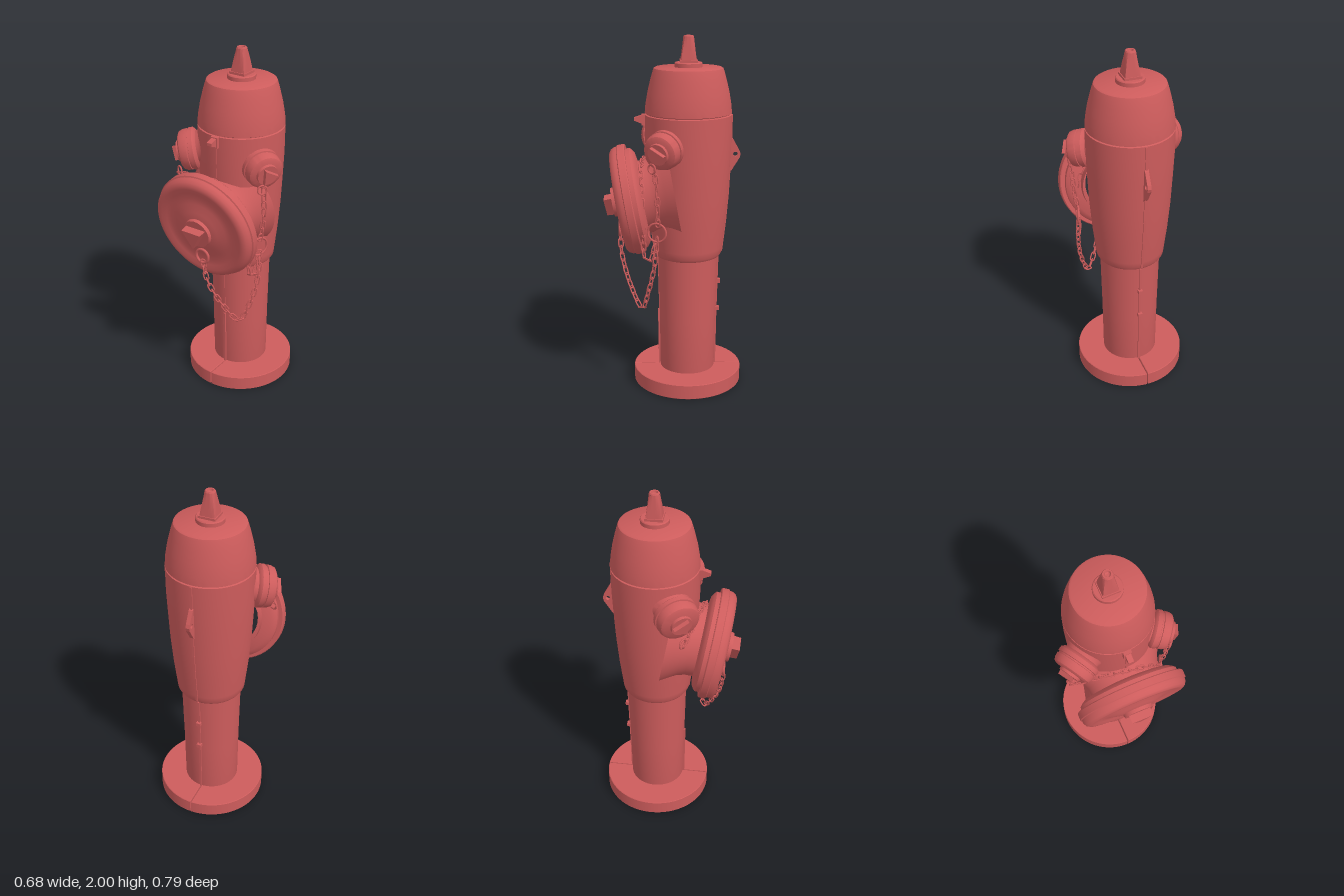
import * as THREE from 'three';
import { toCreasedNormals } from 'three/addons/utils/BufferGeometryUtils.js';

const red = new THREE.MeshStandardMaterial({ color: 0xcd5c5c });
const UP = new THREE.Vector3(0, 1, 0);
const V = (x, y, z) => new THREE.Vector3(x, y, z);

function add(parent, name, geometry) {
  const mesh = new THREE.Mesh(geometry, red);
  mesh.name = name;
  parent.add(mesh);
  return mesh;
}

// Profile points are [radius, height], from bottom to top
function lathe(points, segments = 64) {
  const g = new THREE.LatheGeometry(points.map(([r, y]) => new THREE.Vector2(r, y)), segments);
  return toCreasedNormals(g, 0.55);
}

// Body axis stands at (0.01, -0.08)
const AXIS = V(0.01, 0, -0.08);
const BODY = [
  [0, 0.004], [0.145, 0.004], [0.158, 0.085], [0.162, 0.4], [0.17, 0.765], [0.182, 0.77], [0.192, 0.785],
  [0.196, 0.82], [0.212, 0.96], [0.225, 1.12], [0.233, 1.28], [0.239, 1.42], [0.24, 1.574],
];
const BONNET = [
  [0.232, 1.572], [0.232, 1.58], [0.24, 1.584], [0.236, 1.63], [0.224, 1.7], [0.207, 1.77],
  [0.194, 1.815], [0.19, 1.825], [0.18, 1.831], [0, 1.831],
];

function bodyRadius(y) {
  const i = Math.max(1, BODY.findIndex((p) => p[1] >= y));
  const [a, b] = [BODY[i - 1], BODY[i]];
  return a[0] + (b[0] - a[0]) * (y - a[1]) / (b[1] - a[1]);
}

// Flat plate in the middle plane; sign +1 is the front, -1 the back
function plate(parent, name, shape, width, sign) {
  const g = new THREE.ExtrudeGeometry(shape, { depth: width, bevelEnabled: false });
  g.translate(0, 0, -width / 2);
  add(parent, name, g).rotation.y = -sign * Math.PI / 2;
}

// Casting seam that follows the body profile
function rib(parent, y0, y1, proud, width, sign) {
  const ys = [y0, ...BODY.map((p) => p[1]).filter((y) => y > y0 && y < y1), y1];
  const outer = ys.map((y) => new THREE.Vector2(bodyRadius(y) + proud, y));
  const inner = ys.map((y) => new THREE.Vector2(bodyRadius(y) - 0.02, y)).reverse();
  plate(parent, 'seam', new THREE.Shape([...outer, ...inner]), width, sign);
}

// Outlet with its cap; local y points outward and the cap face lies near y = 0
function outlet(parent, name, face, dir, profile, neck, nut) {
  const g = new THREE.Group();
  g.name = name;
  g.position.copy(face);
  g.quaternion.setFromUnitVectors(UP, dir.normalize());
  add(g, 'neck', lathe(neck));
  add(g, 'cap', lathe(profile));
  const disc = new THREE.CylinderGeometry(nut.disc, nut.disc * 1.05, 0.025, 32);
  add(g, 'capBoss', toCreasedNormals(disc, 0.6)).position.y = nut.y;
  const tri = new THREE.CylinderGeometry(nut.r * 0.94, nut.r, nut.h, 3, 1, false, nut.turn);
  add(g, 'triangularNut', toCreasedNormals(tri, 0.3)).position.y = nut.y + nut.h / 2;
  parent.add(g);
}

// Chain of oval links, turned a quarter from one to the next
function chain(parent, name, points) {
  const curve = new THREE.CatmullRomCurve3(points);
  const n = Math.round(curve.getLength() / 0.04);
  const geo = new THREE.TorusGeometry(0.013, 0.0042, 6, 14);
  const pos = geo.attributes.position;
  for (let i = 0; i < pos.count; i++) pos.setY(i, pos.getY(i) + Math.sign(Math.round(pos.getY(i) * 1e4)) * 0.013);
  geo.computeVertexNormals();
  const g = new THREE.Group();
  g.name = name;
  for (let i = 0; i <= n; i++) {
    const link = add(g, 'link', geo);
    link.position.copy(curve.getPointAt(i / n));
    link.quaternion.setFromUnitVectors(UP, curve.getTangentAt(i / n));
    link.rotateY(0.5 + (i % 2) * Math.PI / 2);
  }
  parent.add(g);
}

function ring(parent, name, radius, tube, position, turnY = 0) {
  const m = add(parent, name, new THREE.TorusGeometry(radius, tube, 8, 28));
  m.position.copy(position);
  m.rotation.y = turnY;
}

export function createModel() {
  const model = new THREE.Group();
  model.name = 'fireHydrant';
  const body = new THREE.Group();
  body.name = 'body';
  body.position.copy(AXIS);
  model.add(body);

  // Split base flange
  const R = 0.309, r = 0.148, gap = 0.005;
  const half = new THREE.Shape();
  const aR = Math.PI / 2 - Math.asin(gap / R), ar = Math.PI / 2 - Math.asin(gap / r);
  half.absarc(0, 0, R, -aR, aR, false);
  half.absarc(0, 0, r, ar, -ar, true);
  const flange = new THREE.ExtrudeGeometry(half, {
    depth: 0.079, bevelThickness: 0.003, bevelSize: 0.003, bevelOffset: -0.001, bevelSegments: 1, curveSegments: 32,
  });
  const flangeGeo = toCreasedNormals(flange.rotateX(-Math.PI / 2).translate(0, 0.003, 0), 0.4);
  for (const turn of [0, Math.PI]) add(body, 'baseFlange', flangeGeo).rotation.y = turn;

  // Post, barrel and bonnet
  add(body, 'barrel', lathe([...BODY, [0.23, 1.578]]));
  add(body, 'bonnet', lathe(BONNET));
  add(body, 'washer', lathe([[0.077, 1.83], [0.077, 1.852], [0.072, 1.857], [0, 1.857]], 40));

  // Operating nut: square at the foot, round at the tip
  const nut = new THREE.CylinderGeometry(1, 1, 1, 48, 12, true);
  const p = nut.attributes.position;
  for (let i = 0; i < p.count; i++) {
    const x = p.getX(i), z = p.getZ(i), t = p.getY(i) + 0.5;
    const square = Math.min(1 / Math.max(Math.abs(x), Math.abs(z)), 1.36);
    const k = (0.045 - 0.016 * t) * THREE.MathUtils.lerp(square, 1, t * t);
    p.setXYZ(i, x * k, 1.855 + 0.138 * t, z * k);
  }
  nut.computeVertexNormals();
  add(body, 'operatingNut', toCreasedNormals(nut, 0.5));
  add(body, 'nutTip', lathe([[0.029, 1.993], [0.025, 2], [0.017, 2], [0.014, 1.99], [0.008, 1.985], [0, 1.985]], 32));
  add(body, 'nutFoot', new THREE.BoxGeometry(0.096, 0.014, 0.096)).position.y = 1.863;

  // Casting seams, front and back
  rib(body, 0.086, 0.43, 0.01, 0.014, 1);
  rib(body, 0.43, 1.57, 0.003, 0.008, 1);
  rib(body, 0.086, 0.76, 0.008, 0.012, -1);
  rib(body, 0.78, 1.57, 0.006, 0.012, -1);
  for (const y of [0.43, 0.6]) {
    add(body, 'seamLug', new THREE.BoxGeometry(0.026, 0.022, 0.04)).position.set(0, y, -bodyRadius(y) - 0.002);
  }

  // Front lug, tapering outward
  const lug = new THREE.Shape([[0.22, 1.515], [0.25, 1.52], [0.298, 1.54], [0.298, 1.556], [0.25, 1.572], [0.22, 1.572]]
    .map(([x, y]) => new THREE.Vector2(x, y)));
  plate(body, 'frontLug', lug, 0.03, 1);
  add(body, 'lugRoot', new THREE.BoxGeometry(0.044, 0.06, 0.03)).position.set(0, 1.545, 0.242);

  // Back eye with a hole
  const eye = new THREE.Shape([[0.225, 1.24], [0.245, 1.26], [0.288, 1.33], [0.293, 1.35], [0.286, 1.37], [0.25, 1.435], [0.225, 1.45]]
    .map(([x, y]) => new THREE.Vector2(x, y)));
  const hole = new THREE.Path();
  hole.absarc(0.264, 1.349, 0.013, 0, Math.PI * 2, true);
  eye.holes.push(hole);
  plate(body, 'backEye', eye, 0.022, -1);

  // Large front outlet, tipped slightly downward
  outlet(model, 'frontOutlet', V(0.01, 1.08, 0.312), V(0, -0.175, 0.985),
    [[0.18, -0.15], [0.255, -0.138], [0.275, -0.125], [0.285, -0.115], [0.285, -0.092], [0.308, -0.092], [0.313, -0.087],
      [0.313, -0.05], [0.306, -0.046], [0.304, -0.03], [0.295, -0.012], [0.278, -0.001], [0.258, 0], [0.23, -0.008],
      [0.2, -0.012], [0.165, -0.008], [0.12, 0.005], [0.085, 0.013], [0, 0.015]],
    [[0.275, -0.32], [0.245, -0.27], [0.22, -0.23], [0.207, -0.19], [0.205, -0.14]],
    { disc: 0.082, y: 0.02, r: 0.074, h: 0.058, turn: 0 });

  // Two side outlets; the one on the right is a little larger
  for (const [side, s, reach] of [[1, 1, 0.325], [-1, 1.14, 0.335]]) {
    const face = V(AXIS.x + side * 0.855 * reach, 1.405, AXIS.z + 0.52 * reach);
    const scaled = (pts) => pts.map(([a, b]) => [a * s, b]);
    outlet(model, side > 0 ? 'leftOutlet' : 'rightOutlet', face, V(side * 0.855, -0.2, 0.52),
      scaled([[0.075, -0.105], [0.09, -0.1], [0.1, -0.09], [0.104, -0.085], [0.104, -0.062], [0.097, -0.06], [0.097, -0.052],
        [0.102, -0.05], [0.1, -0.025], [0.093, -0.008], [0.08, 0], [0, 0.003]]),
      scaled([[0.15, -0.185], [0.122, -0.16], [0.1, -0.135], [0.087, -0.115], [0.083, -0.09]]),
      { disc: 0.058, y: 0.004, r: 0.054, h: 0.036, turn: -side * Math.PI / 2 });
  }

  // Chains and their rings
  ring(model, 'frontCapRing', 0.04, 0.008, V(0.02, 0.925, 0.306));
  ring(model, 'gatherRing', 0.052, 0.006, V(0.255, 0.965, 0.1), Math.PI / 2 - 0.35);
  ring(model, 'leftCapRing', 0.025, 0.005, V(0.285, 1.325, 0.125), 0.8);
  ring(model, 'rightCapRing', 0.026, 0.005, V(-0.28, 1.285, 0.105), -0.5);
  chain(model, 'frontCapChain', [V(0.025, 0.88, 0.305), V(0.045, 0.77, 0.295), V(0.105, 0.62, 0.25), V(0.18, 0.505, 0.185),
    V(0.235, 0.63, 0.145), V(0.26, 0.8, 0.11), V(0.258, 0.92, 0.1)]);
  chain(model, 'leftCapChain', [V(0.285, 1.31, 0.11), V(0.282, 1.2, 0.1), V(0.27, 1.08, 0.095), V(0.258, 1.02, 0.095)]);
  chain(model, 'rightCapChain', [V(-0.27, 1.275, 0.115), V(-0.15, 1.3, 0.14), V(0.02, 1.318, 0.175), V(0.13, 1.28, 0.185),
    V(0.215, 1.16, 0.18), V(0.24, 0.97, 0.172), V(0.238, 0.82, 0.165), V(0.25, 0.81, 0.14), V(0.255, 0.91, 0.105)]);

  return model;
}
